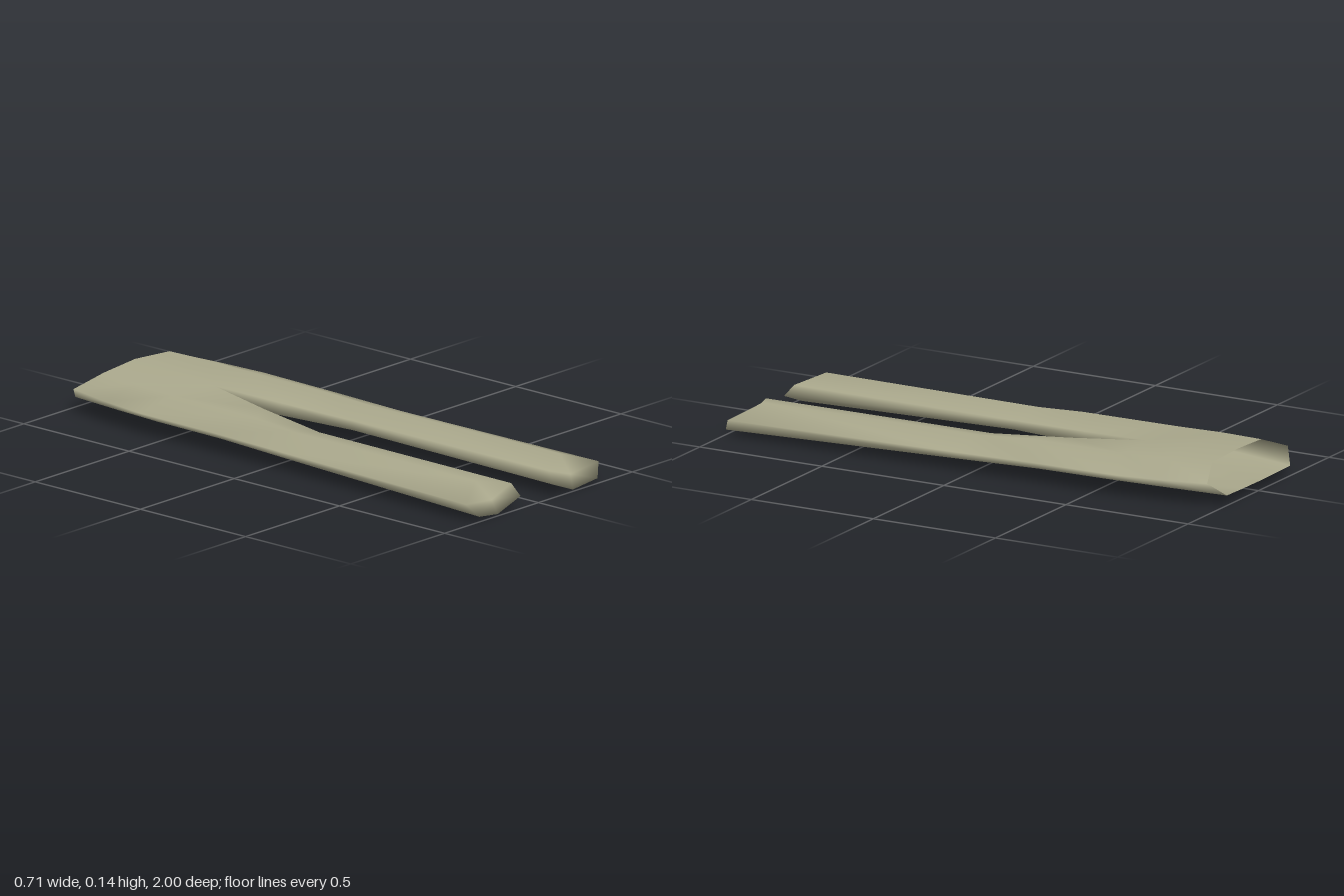
import * as THREE from 'three';
import { mergeVertices } from 'three/addons/utils/BufferGeometryUtils.js';

// Cross-sections of the left half, hem to waist. Each runs clockwise as seen
// from the hem: inner top, top, outer, lower outer, bottom, inner low.
const HEM = [[0.1, 0.088, 0.96], [0.225, 0.112, 0.9], [0.354, 0.068, 0.97], [0.315, 0.02, 1], [0.2, 0.001, 0.985], [0.09, 0.045, 0.995]];
const KNEE = [[0.092, 0.088, 0.04], [0.21, 0.113, 0.02], [0.328, 0.074, 0.06], [0.29, 0.04, 0.04], [0.19, 0.024, 0.02], [0.075, 0.06, 0.05]];
const THIGH = [[0.048, 0.103, -0.26], [0.2, 0.124, -0.16], [0.328, 0.08, -0.26], [0.28, 0.046, -0.26], [0.17, 0.032, -0.26], [0.04, 0.06, -0.26]];
const CROTCH = [[0, 0.121, -0.54], [0.2, 0.126, -0.56], [0.331, 0.083, -0.6], [0.28, 0.048, -0.56], [0.14, 0.038, -0.55], [0, 0.06, -0.54]];
const HIP = [[0, 0.137, -0.74], [0.195, 0.131, -0.74], [0.314, 0.086, -0.78], [0.26, 0.045, -0.77], [0.13, 0.029, -0.76], [0, 0.023, -0.75]];
const WAIST = [[0, 0.145, -0.917], [0.175, 0.135, -0.91], [0.286, 0.09, -0.955], [0.225, 0.038, -1], [0.12, 0.036, -1], [0, 0.035, -1]];
const SECTIONS = [HEM, KNEE, THIGH, CROTCH, HIP, WAIST];
const LEG_END = 3; // below this section the loops are closed tubes
const HEM_CENTRE = [0.21, 0.052, 0.965];

function trouserGeometry() {
  const positions = [];
  for (const side of [1, -1]) {
    // Mirroring reverses the corner order
    const triangle = (a, b, c) => {
      for (const p of side > 0 ? [a, b, c] : [a, c, b]) positions.push(p[0] * side, p[1], p[2]);
    };
    // Closed leg end
    for (let j = 0; j < 6; j++) triangle(HEM_CENTRE, HEM[(j + 1) % 6], HEM[j]);
    // Leg tube, then the half-loops of the hips
    for (let i = 0; i < SECTIONS.length - 1; i++) {
      const near = SECTIONS[i], far = SECTIONS[i + 1];
      const strips = i < LEG_END ? 6 : 5;
      for (let j = 0; j < strips; j++) {
        const k = (j + 1) % 6;
        triangle(near[j], near[k], far[k]);
        triangle(near[j], far[k], far[j]);
      }
    }
  }
  const geometry = new THREE.BufferGeometry();
  geometry.setAttribute('position', new THREE.Float32BufferAttribute(positions, 3));
  // Welded corners give smooth cloth shading across the centre seam
  const welded = mergeVertices(geometry);
  welded.computeVertexNormals();
  return welded;
}

export function createModel() {
  const group = new THREE.Group();
  group.name = 'trousers';

  const cloth = new THREE.MeshStandardMaterial({ color: 0xaaa88c, side: THREE.DoubleSide });
  cloth.name = 'khaki cloth';

  // Legs and hips in one piece, open at the waist
  const body = new THREE.Mesh(trouserGeometry(), cloth);
  body.name = 'legsAndHips';
  group.add(body);
  return group;
}
